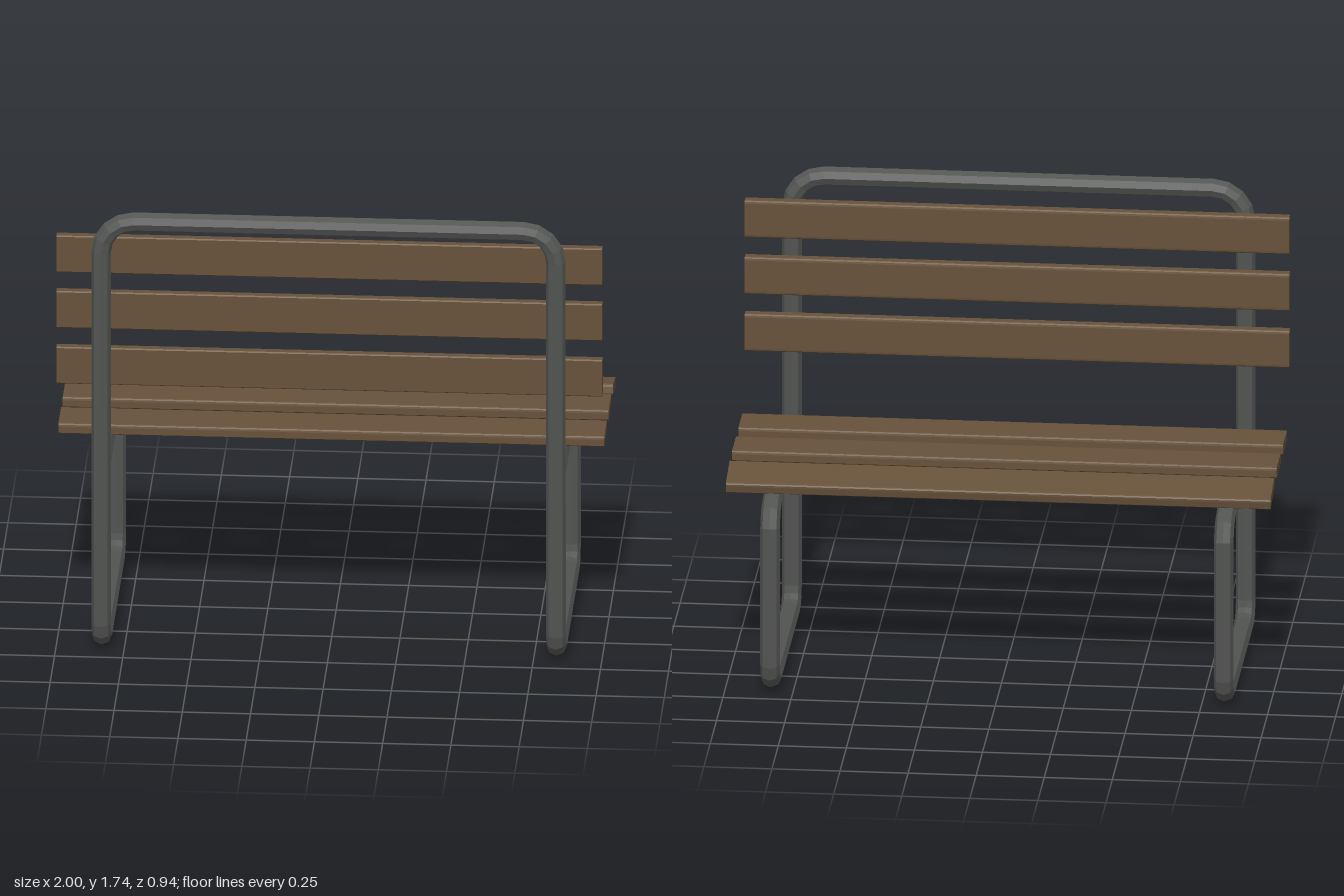
import * as THREE from 'three';

const V = (x, y, z) => new THREE.Vector3(x, y, z);

// Curve that visits each given point exactly, with averaged tangents at the bends
class PointPath extends THREE.Curve {
  constructor(points) {
    super();
    this.points = points;
  }
  getPoint(t) {
    return this.points[Math.round(t * (this.points.length - 1))].clone();
  }
  getPointAt(t) {
    return this.getPoint(t);
  }
  getTangentAt(t) {
    const p = this.points, i = Math.round(t * (p.length - 1));
    const sum = V(0, 0, 0);
    if (i > 0) sum.add(p[i].clone().sub(p[i - 1]).normalize());
    if (i < p.length - 1) sum.add(p[i + 1].clone().sub(p[i]).normalize());
    return sum.normalize();
  }
}

// Points of a rounded right-angle corner at c, arriving along dirIn, leaving along dirOut
function corner(c, dirIn, dirOut, r, steps) {
  const centre = c.clone().addScaledVector(dirIn, -r).addScaledVector(dirOut, r);
  return Array.from({ length: steps + 1 }, (_, i) => {
    const a = (i / steps) * Math.PI / 2;
    return centre.clone().addScaledVector(dirOut, -r * Math.cos(a)).addScaledVector(dirIn, r * Math.sin(a));
  });
}

// Plank running along x, with its upper long edges eased
function slatGeometry(width, thickness, length) {
  const w = width / 2, h = thickness / 2, r = 0.012, b = 0.004;
  const s = new THREE.Shape();
  s.moveTo(-w + b, -h);
  s.lineTo(w - b, -h);
  s.lineTo(w, -h + b);
  s.lineTo(w, h - r);
  s.quadraticCurveTo(w, h, w - r, h);
  s.lineTo(-w + r, h);
  s.quadraticCurveTo(-w, h, -w, h - r);
  s.lineTo(-w, -h + b);
  s.closePath();
  const g = new THREE.ExtrudeGeometry(s, { depth: length, bevelEnabled: false, curveSegments: 3 });
  return g.translate(0, 0, -length / 2).rotateY(Math.PI / 2);
}

export function createModel() {
  const bench = new THREE.Group();
  bench.name = 'bench';
  const metal = new THREE.MeshStandardMaterial({ color: 0x535553, flatShading: true });
  const wood = new THREE.MeshStandardMaterial({ color: 0x67523a, flatShading: true });

  // One bent tube: seat support, front leg, floor runner, back post, top rail, mirrored
  const X = 0.833, Z = 0.434, low = 0.037, top = 1.704;
  const up = V(0, 1, 0), down = V(0, -1, 0), back = V(0, 0, 1), front = V(0, 0, -1), inward = V(-1, 0, 0);
  const half = [
    V(X, 0.748, Z - 0.01),
    V(X, 0.748, -0.2),
    V(X, 0.711, -0.365),
    V(X, 0.693, -0.405),
    V(X, 0.64, -Z),
    ...corner(V(X, low, -Z), down, back, 0.075, 3),
    ...corner(V(X, low, Z), back, up, 0.075, 3),
    ...corner(V(X, top, Z), up, inward, 0.12, 4),
  ];
  const mirrored = half.map((p) => V(-p.x, p.y, p.z)).reverse();
  const path = new PointPath([...half, ...mirrored]);
  const frame = new THREE.Mesh(new THREE.TubeGeometry(path, path.points.length - 1, 0.036, 8), metal);
  frame.name = 'tubeFrame';
  bench.add(frame);

  // Slats: [name, y, z, tilt about x, width]
  const slats = [
    ['seatSlatRear', 0.81, 0.195, 0, 0.166],
    ['seatSlatMiddle', 0.81, -0.055, 0, 0.166],
    ['seatSlatFront', 0.791, -0.304, -0.23, 0.162],
    ['backSlatLower', 1.111, 0.378, -Math.PI / 2, 0.145],
    ['backSlatMiddle', 1.332, 0.378, -Math.PI / 2, 0.145],
    ['backSlatUpper', 1.552, 0.378, -Math.PI / 2, 0.145],
  ];
  for (const [name, y, z, tilt, width] of slats) {
    const slat = new THREE.Mesh(slatGeometry(width, 0.04, 2), wood);
    slat.name = name;
    slat.position.set(0, y, z);
    slat.rotation.x = tilt;
    bench.add(slat);
  }
  return bench;
}
